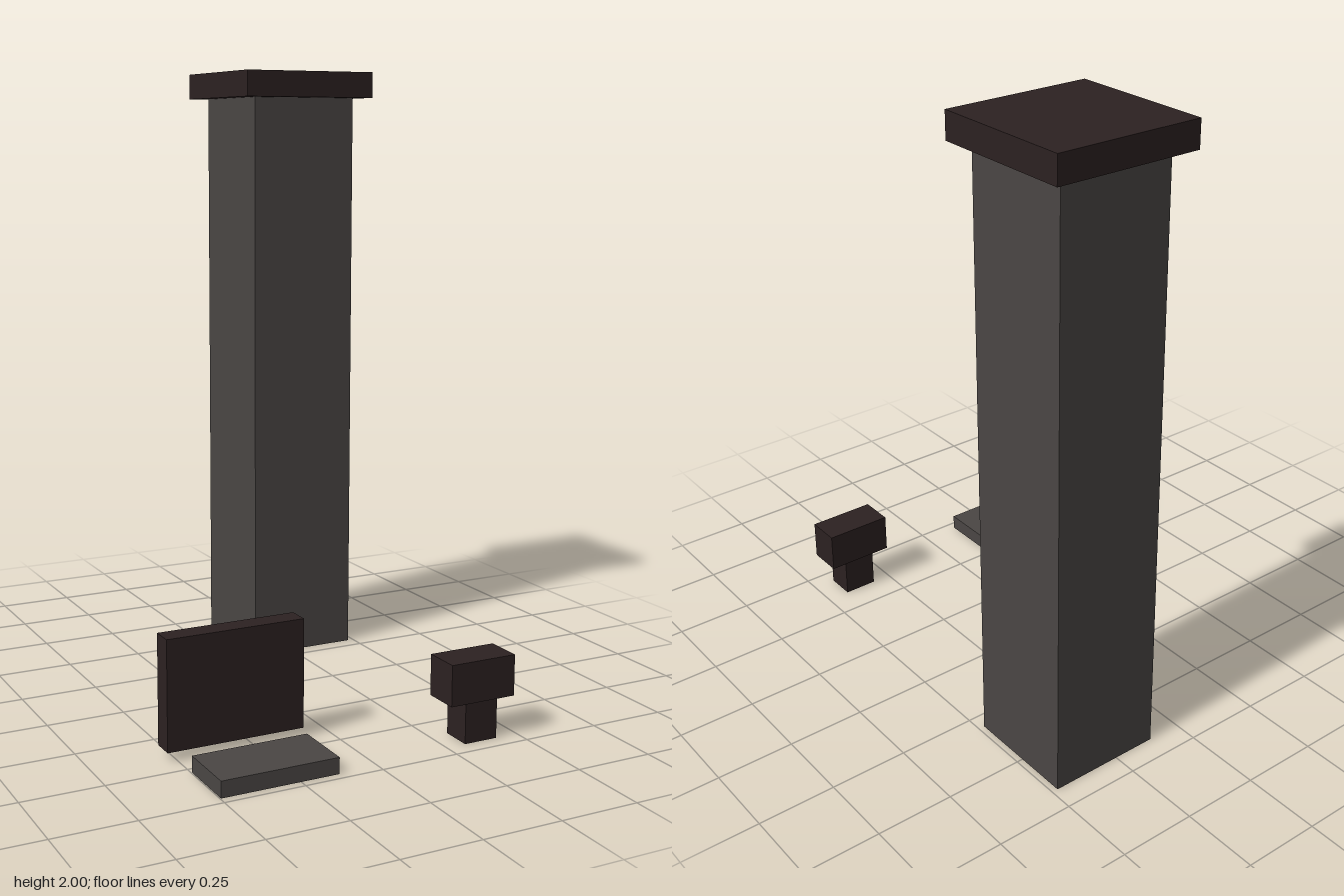
import * as THREE from 'three';

export function createModel() {
  const group = new THREE.Group();
  const stone = new THREE.MeshStandardMaterial({ color: 0x4a4644 });
  stone.name = 'grey stone';
  const dark = new THREE.MeshStandardMaterial({ color: 0x2c2121 });
  dark.name = 'dark brown';

  // Box given by its extents along each axis
  function block(name, material, [x0, x1], [y0, y1], [z0, z1]) {
    const mesh = new THREE.Mesh(new THREE.BoxGeometry(x1 - x0, y1 - y0, z1 - z0), material);
    mesh.position.set((x0 + x1) / 2, (y0 + y1) / 2, (z0 + z1) / 2);
    mesh.name = name;
    group.add(mesh);
  }

  // Tall pillar with its overhanging cap
  block('pillarShaft', stone, [0.11, 0.48], [0, 1.915], [-0.672, -0.302]);
  block('pillarCap', dark, [0.06, 0.53], [1.915, 2], [-0.722, -0.255]);

  // Upright panel, floating slightly above the ground
  block('panel', dark, [-0.533, -0.09], [0.03, 0.37], [0.364, 0.434]);

  // Low slab in front of the panel
  block('slab', stone, [-0.497, -0.127], [0, 0.05], [0.525, 0.722]);

  // Small post with a wider head
  block('postStem', dark, [0.314, 0.425], [0, 0.127], [0.6, 0.697]);
  block('postHead', dark, [0.258, 0.48], [0.127, 0.255], [0.59, 0.706]);

  return group;
}
